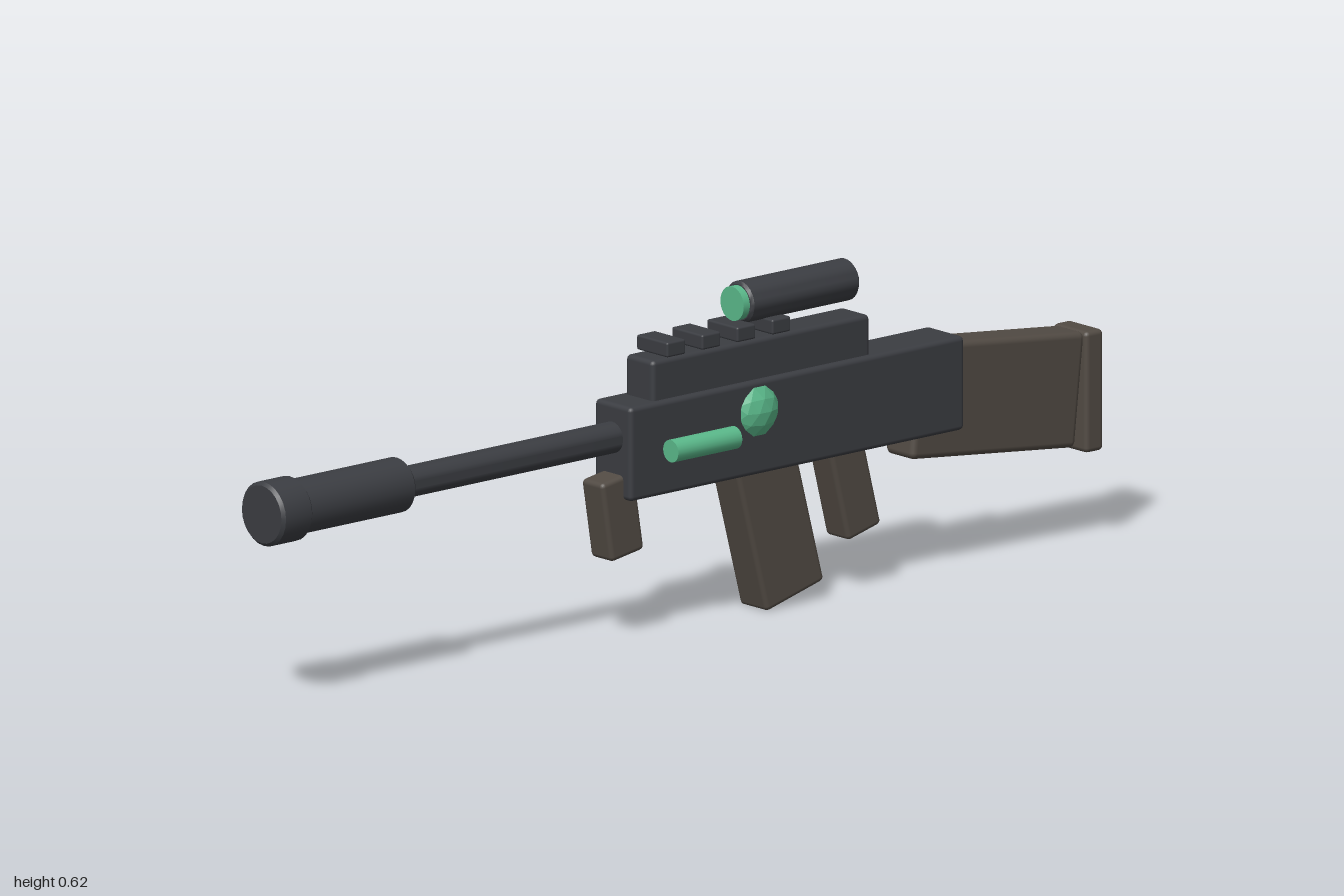
import * as THREE from 'three';
import { toCreasedNormals } from 'three/addons/utils/BufferGeometryUtils.js';
import { RoundedBoxGeometry } from 'three/addons/geometries/RoundedBoxGeometry.js';

const metal = new THREE.MeshStandardMaterial({ color: 0x3b3d42 });
const grip = new THREE.MeshStandardMaterial({ color: 0x524b44 });
const glow = new THREE.MeshStandardMaterial({ color: 0x5ab88a });
const glowFlat = new THREE.MeshStandardMaterial({ color: 0x5ab88a, flatShading: true });

export function createModel() {
  const model = new THREE.Group();
  model.name = 'rifle';

  const add = (name, geometry, material, x, y, z, tilt = 0) => {
    const mesh = new THREE.Mesh(geometry, material);
    mesh.name = name;
    mesh.position.set(x, y, z);
    mesh.rotation.x = tilt;
    model.add(mesh);
    return mesh;
  };

  // Softly bevelled block, tilted about the x axis
  const block = (name, material, [w, h, d], y, z, tilt = 0, bevel = 0.009) =>
    add(name, new RoundedBoxGeometry(w, h, d, 2, bevel), material, 0, y, z, tilt);

  // Round bar along z from z0 to z1 with bevelled ends
  const bar = (name, material, r, z0, z1, x, y, bevel) => {
    const half = (z1 - z0) / 2;
    const profile = [[0, -half], [r - bevel, -half], [r, bevel - half],
      [r, half - bevel], [r - bevel, half], [0, half]].map(([a, b]) => new THREE.Vector2(a, b));
    const geometry = toCreasedNormals(new THREE.LatheGeometry(profile, 24).rotateX(Math.PI / 2), 0.6);
    add(name, geometry, material, x, y, (z0 + z1) / 2);
  };

  // Body and sight rail
  block('receiver', metal, [0.1, 0.176, 0.81], 0.358, -0.255);
  block('rail', metal, [0.076, 0.085, 0.527], 0.478, -0.178);
  for (let i = 0; i < 4; i++) {
    block('railTooth', metal, [0.085, 0.028, 0.045], 0.537, 0.032 - i * 0.085, 0, 0.004);
  }

  // Barrel with suppressor
  bar('barrel', metal, 0.029, 0.1, 0.7, 0, 0.383, 0.003);
  bar('suppressor', metal, 0.051, 0.665, 0.95, 0, 0.382, 0.008);
  bar('muzzleCap', metal, 0.06, 0.925, 1, 0, 0.381, 0.006);

  // Scope
  bar('scope', metal, 0.039, -0.418, -0.155, 0, 0.584, 0.005);
  add('scopeLens', new THREE.CylinderGeometry(0.032, 0.032, 0.05, 24).rotateX(Math.PI / 2),
    glow, 0, 0.584, -0.165);

  // Energy core showing through both flanks, with a cell on each side
  add('energyCore', new THREE.IcosahedronGeometry(0.069, 2), glowFlat, 0, 0.389, -0.162);
  for (const side of [-1, 1]) {
    add('energyCell', new THREE.CylinderGeometry(0.021, 0.021, 0.155, 20).rotateX(Math.PI / 2),
      glow, side * 0.071, 0.357, -0.006);
  }

  // Grips and magazine, leaning back towards the bottom
  block('foregrip', grip, [0.06, 0.152, 0.081], 0.239, 0.149, 0.16);
  block('magazine', grip, [0.076, 0.32, 0.145], 0.178, -0.221, 0.26);
  block('rearGrip', grip, [0.064, 0.22, 0.083], 0.219, -0.408, 0.25);

  // Stock
  block('stock', grip, [0.078, 0.215, 0.4], 0.315, -0.753, -0.11, 0.012);
  block('buttPlate', grip, [0.094, 0.227, 0.043], 0.288, -0.9785);

  return model;
}
